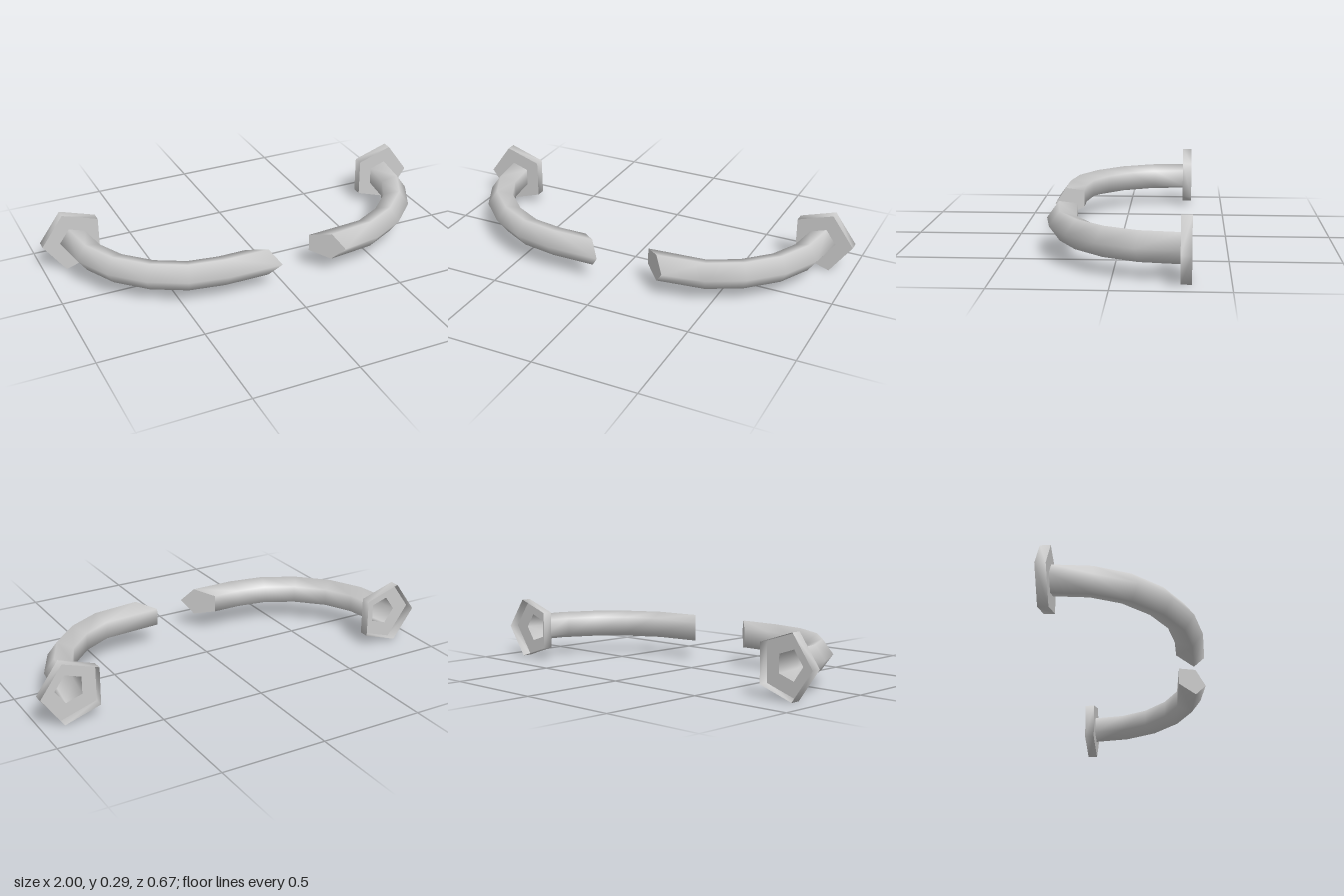
import * as THREE from 'three';

const SIDES = 5, MID_Y = 0.147;
const BACK = Math.cos(Math.PI / SIDES); // pentagon: point at 1, flat side at -BACK

// A pentagonal ring given by its outer point, its inner flat side (x, z) and its radius in y
const ring = (ox, oz, ix, iz, r = 0.071) => ({ ox, oz, ix, iz, r });

// Skin the rings; side = -1 mirrors the part to the other half
function loft(name, rings, side, material) {
  const pos = [], index = [];
  for (const { ox, oz, ix, iz, r } of rings) {
    for (let k = 0; k < SIDES; k++) {
      const a = (k / SIDES) * Math.PI * 2;
      const t = (1 - Math.cos(a)) / (1 + BACK);
      pos.push(side * (ox + (ix - ox) * t), MID_Y + r * Math.sin(a), oz + (iz - oz) * t);
    }
  }
  for (let i = 0; i < rings.length - 1; i++) {
    for (let k = 0; k < SIDES; k++) {
      const a = i * SIDES + k, b = i * SIDES + (k + 1) % SIDES;
      const c = a + SIDES, d = b + SIDES;
      if (side > 0) index.push(a, c, b, b, c, d);
      else index.push(a, b, c, b, d, c);
    }
  }
  const geometry = new THREE.BufferGeometry();
  geometry.setAttribute('position', new THREE.Float32BufferAttribute(pos, 3));
  geometry.setIndex(index);
  geometry.computeVertexNormals();
  const mesh = new THREE.Mesh(geometry, material);
  mesh.name = name;
  return mesh;
}

export function createModel() {
  const model = new THREE.Group();
  model.name = 'brokenHandle';
  const material = new THREE.MeshStandardMaterial({ color: 0xcccccc, side: THREE.DoubleSide });

  // Rings of the curved bar, from the mounting end forwards
  const bend = [
    ring(-0.915, -0.288, -0.787, -0.288),
    ring(-0.887, -0.1, -0.765, -0.135),
    ring(-0.8, 0.072, -0.7, -0.005),
    ring(-0.66, 0.21, -0.585, 0.108),
    ring(-0.49, 0.3, -0.45, 0.18),
  ];
  const straight = ring(-0.3, 0.333, -0.305, 0.203);
  // Slanted cuts: the right half is longer, both cuts run the same way
  const halves = [
    { name: 'rightHalf', side: 1, rings: [...bend, straight, ring(-0.038, 0.333, -0.165, 0.203)] },
    { name: 'leftHalf', side: -1, rings: [...bend, ring(-0.293, 0.333, -0.165, 0.203)] },
  ];

  const flangeBack = ring(-1, -0.335, -0.721, -0.335, 0.154);
  const flangeFront = ring(-1, -0.288, -0.721, -0.288, 0.154);

  for (const { name, side, rings } of halves) {
    const half = new THREE.Group();
    half.name = name;
    const end = rings[rings.length - 1];
    const t = 1 / (1 + BACK);
    const cx = end.ox + (end.ix - end.ox) * t, cz = end.oz + (end.iz - end.oz) * t;
    half.add(
      loft('bar', rings, side, material),
      loft('cutEnd', [end, ring(cx, cz, cx, cz, 0)], side, material),
      // Flange is an open-backed cup
      loft('flangeRim', [flangeBack, flangeFront], side, material),
      loft('flangePlate', [flangeFront, bend[0]], side, material),
    );
    model.add(half);
  }
  return model;
}
